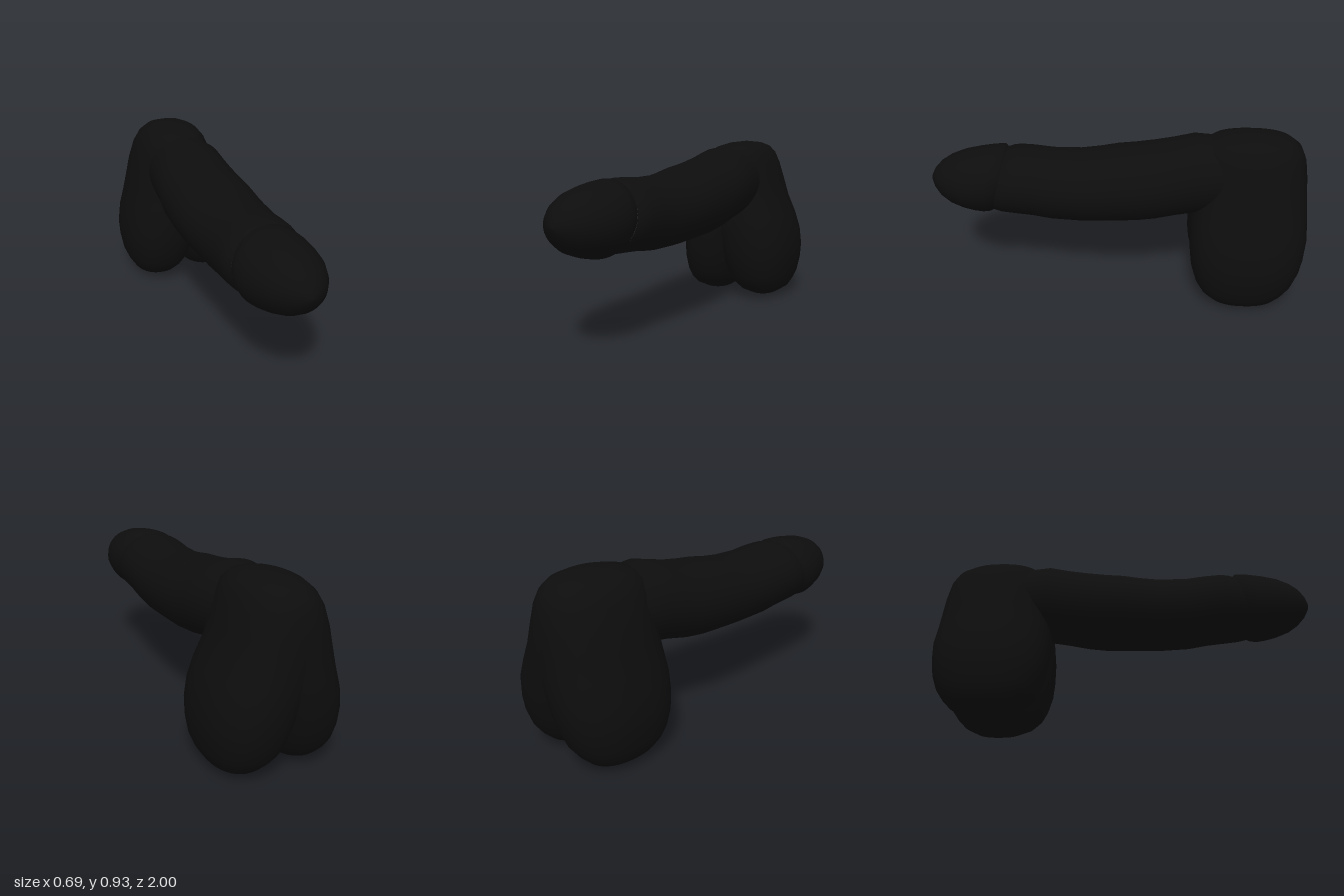
import * as THREE from 'three';

const SIDES = 36;

// Skin of rounded cross-sections along z: [z, xMin, xMax, yMin, yMax, lean]
function loft(sections, power) {
  const pos = [], index = [];
  const bend = (v) => Math.sign(v) * Math.pow(Math.abs(v), 2 / power);
  for (const [z, x0, x1, y0, y1, lean = 0] of sections) {
    for (let j = 0; j < SIDES; j++) {
      const a = (j / SIDES) * Math.PI * 2;
      const s = bend(Math.sin(a)) * (y1 - y0) / 2;
      const c = bend(Math.cos(a)) * (x1 - x0) / 2;
      pos.push((x0 + x1) / 2 + c, (y0 + y1) / 2 + s, z - lean * s);
    }
  }
  for (let i = 0; i < sections.length - 1; i++) {
    for (let j = 0; j < SIDES; j++) {
      const a = i * SIDES + j, b = i * SIDES + (j + 1) % SIDES;
      index.push(a, b, a + SIDES, b, b + SIDES, a + SIDES);
    }
  }
  const geo = new THREE.BufferGeometry();
  geo.setAttribute('position', new THREE.Float32BufferAttribute(pos, 3));
  geo.setIndex(index);
  geo.computeVertexNormals();
  return geo;
}

// Shaft with a slanted groove behind the rounded tip
const shaftSections = [
  [-0.62, -0.20, 0.17, 0.52, 0.89],
  [-0.40, -0.235, 0.205, 0.49, 0.905],
  [-0.30, -0.24, 0.205, 0.472, 0.88],
  [-0.20, -0.255, 0.21, 0.45, 0.857],
  [-0.10, -0.258, 0.21, 0.437, 0.842],
  [0.00, -0.262, 0.21, 0.434, 0.83],
  [0.10, -0.258, 0.204, 0.43, 0.812],
  [0.20, -0.253, 0.198, 0.428, 0.80],
  [0.35, -0.25, 0.18, 0.43, 0.80],
  [0.45, -0.254, 0.173, 0.445, 0.81],
  [0.54, -0.258, 0.168, 0.455, 0.812, 0.1],
  [0.59, -0.252, 0.158, 0.46, 0.808, 0.2],
  [0.63, -0.237, 0.138, 0.468, 0.798, 0.25],
];
const tipSections = [
  [0.62, -0.225, 0.13, 0.475, 0.79, 0.25],
  [0.645, -0.243, 0.146, 0.458, 0.816, 0.25],
  [0.69, -0.25, 0.155, 0.456, 0.812, 0.2],
  [0.75, -0.24, 0.152, 0.464, 0.803, 0.1],
  [0.82, -0.22, 0.138, 0.478, 0.787],
  [0.89, -0.185, 0.107, 0.505, 0.762],
  [0.94, -0.145, 0.07, 0.54, 0.732],
  [0.975, -0.10, 0.025, 0.58, 0.695],
  [0.993, -0.066, -0.012, 0.615, 0.663],
  [1.0, -0.04, -0.04, 0.64, 0.64],
];

// Half of the base: [height, outer x, inner x, front z, back z, sideways shift]
const lobeSections = [
  [0.0, 0.16, 0.16, -0.70, -0.70, 0],
  [0.015, 0.23, 0.085, -0.58, -0.80, 0],
  [0.05, 0.285, 0.03, -0.50, -0.87, 0],
  [0.09, 0.31, -0.005, -0.455, -0.91, 0],
  [0.14, 0.33, -0.04, -0.425, -0.945, 0],
  [0.22, 0.343, -0.07, -0.40, -0.975, 0],
  [0.30, 0.347, -0.10, -0.39, -0.99, 0],
  [0.40, 0.332, -0.13, -0.385, -1.0, 0],
  [0.50, 0.303, -0.18, -0.39, -0.995, -0.003],
  [0.60, 0.267, -0.21, -0.40, -0.99, -0.014],
  [0.70, 0.24, -0.235, -0.405, -0.985, -0.018],
  [0.80, 0.207, -0.207, -0.41, -0.968, -0.017],
  [0.86, 0.176, -0.176, -0.43, -0.94, -0.012],
  [0.90, 0.138, -0.138, -0.48, -0.89, -0.005],
  [0.922, 0.085, -0.085, -0.58, -0.82, 0],
  [0.933, 0.0, 0.0, -0.71, -0.71, 0],
];

function lobe(side) {
  const sections = lobeSections.map(([h, outer, inner, front, back, shift]) => {
    const xs = [side * outer + shift, side * inner + shift].sort((a, b) => a - b);
    return [h, xs[0], xs[1], -front, -back];
  });
  return loft(sections, 2.3).rotateX(-Math.PI / 2);
}

export function createModel() {
  const black = new THREE.MeshStandardMaterial({ color: 0x0d0d0d });
  black.name = 'black';
  const model = new THREE.Group();
  model.name = 'model';
  const add = (name, geo) => {
    const mesh = new THREE.Mesh(geo, black);
    mesh.name = name;
    model.add(mesh);
  };
  add('shaft', loft(shaftSections, 2));
  add('tip', loft(tipSections, 2));
  add('leftBaseLobe', lobe(1));
  add('rightBaseLobe', lobe(-1));
  return model;
}
